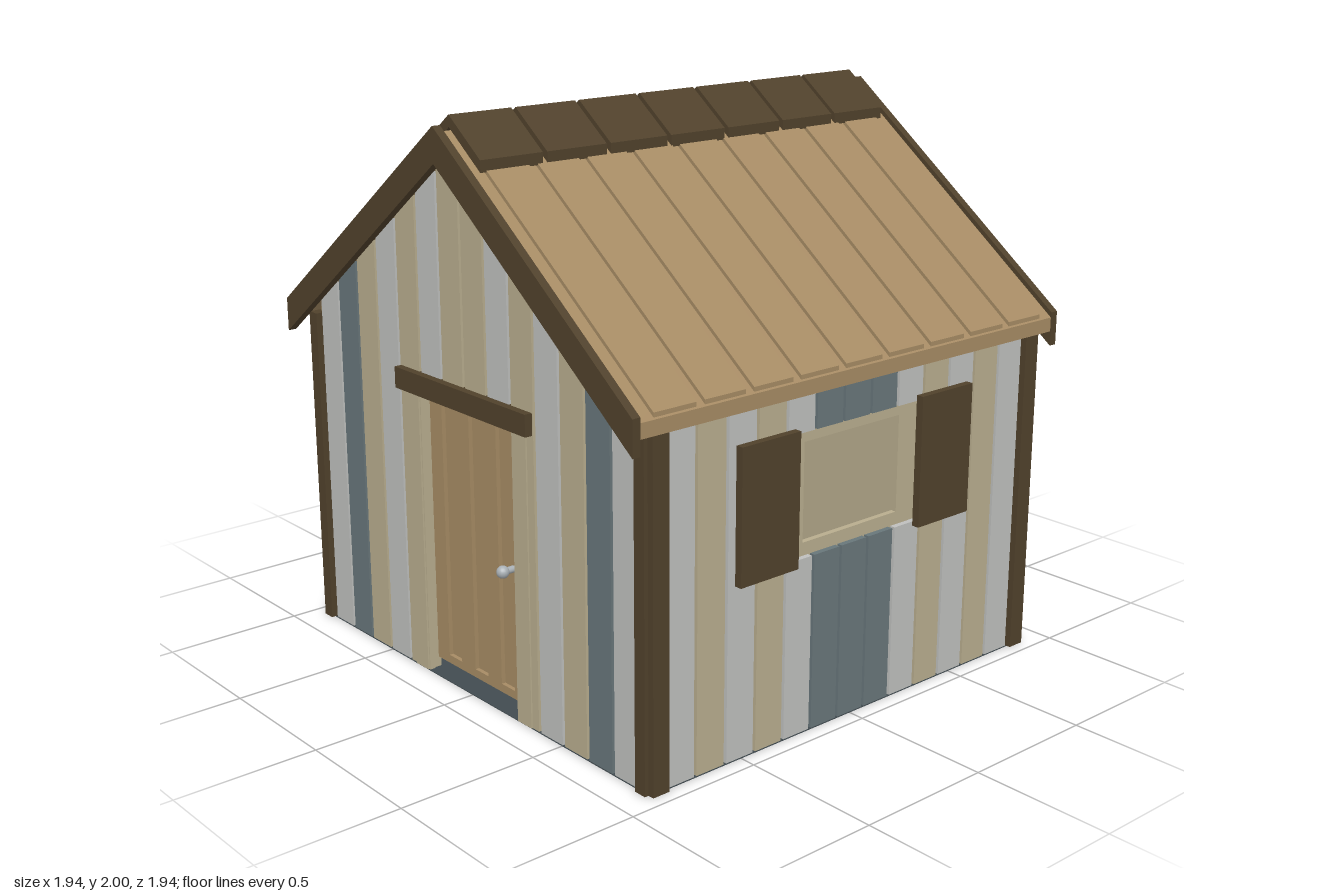
import * as THREE from 'three';

const mat = (name, color) => {
  const m = new THREE.MeshStandardMaterial({ color });
  m.name = name;
  return m;
};

export function createModel() {
  const M = {
    G: mat('grey board', 0xbebfbd),
    T: mat('tan board', 0xb8ad8e),
    B: mat('slate blue', 0x68767a),
    brown: mat('light brown wood', 0xa68b64),
    dark: mat('dark brown wood', 0x50412b),
    floor: mat('dark floor', 0x414b50),
    metal: mat('knob metal', 0xa9b0b5),
  };
  const root = new THREE.Group();
  root.name = 'shed';

  const add = (name, geo, material, parent) => {
    const m = new THREE.Mesh(geo, material);
    m.name = name;
    parent.add(m);
    return m;
  };
  const group = (name) => {
    const g = new THREE.Group();
    g.name = name;
    root.add(g);
    return g;
  };
  // Box given by its limits
  const box = (name, x0, x1, y0, y1, z0, z1, material, parent) => {
    const g = new THREE.BoxGeometry(x1 - x0, y1 - y0, z1 - z0);
    g.translate((x0 + x1) / 2, (y0 + y1) / 2, (z0 + z1) / 2);
    return add(name, g, material, parent);
  };
  // Polygon in x/y extruded from z0 to z1
  const prism = (name, pts, z0, z1, material, parent, holes = []) => {
    const toV = (p) => p.map(([x, y]) => new THREE.Vector2(x, y));
    const s = new THREE.Shape(toV(pts));
    holes.forEach((h) => s.holes.push(new THREE.Path(toV(h))));
    const g = new THREE.ExtrudeGeometry(s, { depth: z1 - z0, bevelEnabled: false });
    g.translate(0, 0, z0);
    return add(name, g, material, parent);
  };
  const SLOPE = 0.753;
  // Inverted V following the roof pitch
  const chevron = (name, half, apex, thick, z0, z1, material, parent) => {
    const e = apex - SLOPE * half;
    prism(name, [[0, apex], [-half, e], [-half, e - thick], [0, apex - thick],
      [half, e - thick], [half, e]], z0, z1, material, parent);
  };
  const under = (x) => 1.905 - SLOPE * Math.abs(x);
  const span = (s, a, b) => (s > 0 ? [a, b] : [-b, -a]);

  // Floor and hollow wall shell with door and window openings
  const W = 0.92, D = 0.265, doorTop = 1.02, Y0 = 0.003;
  const shell = group('wallShell');
  box('floor', -0.942, 0.942, 0, Y0, -0.882, 0.882, M.floor, shell);
  const gableTop = [[W, under(W)], [0, under(0)], [-W, under(W)]];
  prism('backWall', [[-W, Y0], [W, Y0], ...gableTop], -0.86, -0.83, M.T, shell);
  prism('frontWall', [[-W, Y0], [-D, Y0], [-D, doorTop], [D, doorTop], [D, Y0],
    [W, Y0], ...gableTop], 0.83, 0.86, M.T, shell);
  const wallIn = 0.9, wallTop = 1.205;
  box('rightWall', -W, -wallIn, Y0, wallTop, -0.83, 0.83, M.T, shell);
  box('wallBelowWindow', wallIn, W, Y0, 0.66, -0.83, 0.83, M.T, shell);
  box('wallAboveWindow', wallIn, W, 1.0, wallTop, -0.83, 0.83, M.T, shell);
  for (const s of [1, -1]) {
    box('wallBesideWindow', wallIn, W, 0.66, 1.0, ...span(s, 0.22, 0.83), M.T, shell);
  }

  // Gable boards, front and back
  const P = 0.127, HALF = 0.0575;
  const gable = (name, pattern, z0, z1, door) => {
    const g = group(name);
    [...pattern].forEach((c, i) => {
      const x = (i - 6.5) * P, a = x - HALF, b = x + HALF;
      const y0 = door && Math.abs(x) < 0.25 ? doorTop : Y0;
      prism('board', [[a, y0], [b, y0], [b, under(b)], [a, under(a)]], z0, z1, M[c], g);
    });
  };
  gable('frontBoards', 'GBTGTGTTGTGTBG', 0.86, 0.88, true);
  gable('backBoards', 'TGTGBTGGTBGTGT', -0.88, -0.86, false);

  // Side boards, cut around the window on the left wall
  for (const s of [1, -1]) {
    const g = group(s > 0 ? 'leftBoards' : 'rightBoards');
    [...'GTGTGBBBGTGTG'].forEach((c, i) => {
      const z = (i - 6) * 0.1265;
      const spans = s > 0 && Math.abs(z) < 0.3 ? [[Y0, 0.615], [1.04, 1.19]] : [[Y0, 1.19]];
      for (const [y0, y1] of spans) {
        box('board', ...span(s, W, 0.94), y0, y1, z - HALF, z + HALF, M[c], g);
      }
    });
  }

  // Corner posts made of two planks each
  for (const sx of [1, -1]) for (const sz of [1, -1]) {
    const g = group('cornerPost');
    box('facePlank', ...span(sx, 0.89, 0.937), Y0, 1.185, ...span(sz, 0.84, 0.9), M.dark, g);
    box('sidePlank', ...span(sx, 0.93, 0.96), Y0, 1.178, ...span(sz, 0.82, 0.885), M.dark, g);
  }

  // Door with three sunken panels, jambs, lintel and knob
  const door = group('door');
  box('doorBack', -D, D, 0.04, doorTop, 0.81, 0.825, M.brown, door);
  const panels = [-0.157, 0, 0.153].map((x) => [[x - 0.038, 0.07], [x - 0.038, 0.985],
    [x + 0.038, 0.985], [x + 0.038, 0.07]]);
  prism('doorLeaf', [[-D, 0.04], [D, 0.04], [D, doorTop], [-D, doorTop]],
    0.825, 0.84, M.brown, door, panels);
  for (const s of [1, -1]) {
    box('doorJamb', ...span(s, D, 0.34), Y0, 1.025, 0.86, 0.885, M.T, door);
  }
  box('lintel', -0.37, 0.37, 1.025, 1.1, 0.86, 0.908, M.dark, door);
  const stem = new THREE.CylinderGeometry(0.012, 0.012, 0.05, 12).rotateX(Math.PI / 2);
  add('knobStem', stem, M.metal, door).position.set(0.2, 0.515, 0.86);
  add('knob', new THREE.SphereGeometry(0.022, 16, 12), M.metal, door).position.set(0.2, 0.515, 0.885);

  // Shutters beside the open window
  const shutters = group('shutters');
  for (const s of [1, -1]) {
    box('shutter', 0.94, 0.967, 0.6, 1.06, ...span(s, 0.283, 0.533), M.dark, shutters);
  }

  // Roof deck, raised planks, gable trim and ridge caps
  const roof = group('roof');
  chevron('roofDeck', 0.968, 1.95, 0.05, -0.94, 0.94, M.brown, roof);
  for (let i = -4; i <= 4; i++) {
    chevron('roofPlank', 0.962, 1.965, 0.03, i * 0.2 - 0.083, i * 0.2 + 0.083, M.brown, roof);
  }
  chevron('frontTrim', 0.97, 1.97, 0.12, 0.94, 0.97, M.dark, roof);
  chevron('backTrim', 0.97, 1.97, 0.12, -0.97, -0.94, M.dark, roof);
  for (let i = -3; i <= 3; i++) {
    const z = i * 0.2615;
    chevron('ridgeCap', 0.165, 2.0, 0.04, z - 0.122, z + 0.122, M.dark, roof);
  }
  return root;
}
